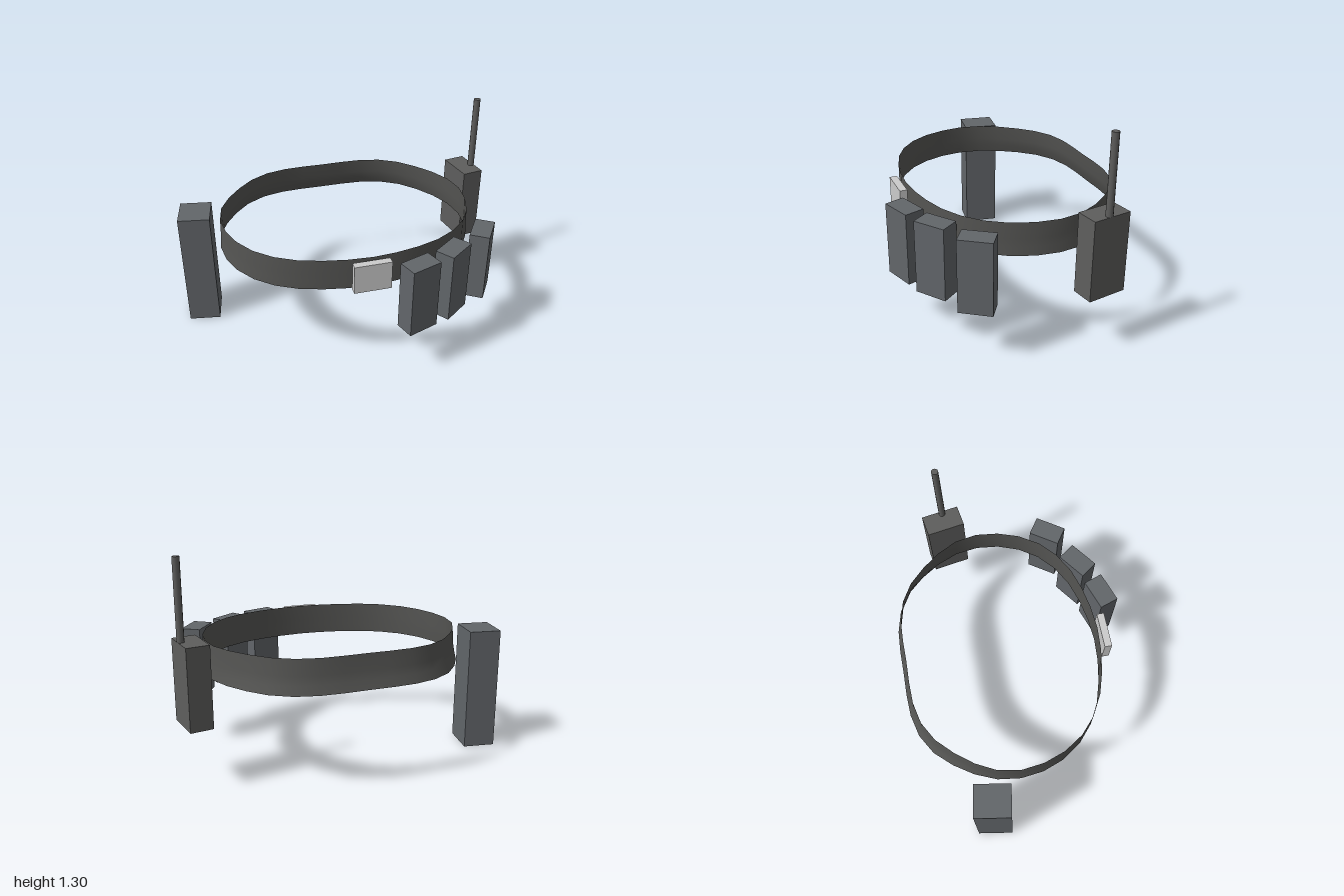
import * as THREE from 'three';

const fabric = new THREE.MeshStandardMaterial({ color: 0x555553, side: THREE.DoubleSide });
const pouchMat = new THREE.MeshStandardMaterial({ color: 0x62666a });
const radioMat = new THREE.MeshStandardMaterial({ color: 0x5e5e5d });
const metal = new THREE.MeshStandardMaterial({ color: 0xcccccc });

// Upright box between two heights, turned about y
function box(name, material, [w, d], [y0, y1], [x, z], turn = 0) {
  const mesh = new THREE.Mesh(new THREE.BoxGeometry(w, y1 - y0, d), material);
  mesh.name = name;
  mesh.position.set(x, (y0 + y1) / 2, z);
  mesh.rotation.y = turn;
  return mesh;
}

// Open band: half an outline mirrored, flaring outwards at the lower back
function beltGeometry() {
  const cx = 0.027, segments = 32;
  const half = [[0.25, -0.703], [0.375, -0.68], [0.485, -0.635], [0.59, -0.545], [0.69, -0.41],
    [0.757, -0.28], [0.787, -0.09], [0.763, 0.065], [0.705, 0.2], [0.595, 0.335], [0.425, 0.44], [0.215, 0.5]];
  const outline = [[0, -0.705], ...half, [0, 0.522], ...half.map(([x, z]) => [-x, z]).reverse()];
  const curve = new THREE.CatmullRomCurve3(outline.map(([x, z]) => new THREE.Vector3(x, 0, z)), true);
  const loop = curve.getSpacedPoints(segments);
  // height and share of the inward lean
  const rows = [[0.59, 0], [0.64, 0.45], [0.69, 0.75], [0.785, 1]];
  const positions = [], index = [];
  rows.forEach(([y, lean], r) => {
    for (let i = 0; i < segments; i++) {
      const p = loop[i];
      const inset = lean * (0.012 * THREE.MathUtils.smoothstep(-p.z, -0.5, 0)
        + 0.033 * THREE.MathUtils.smoothstep(-p.z, 0.1, 0.65));
      const k = 1 - inset / p.length();
      positions.push(cx + p.x * k, y, p.z * k);
      if (r === 0) continue;
      const j = (i + 1) % segments, a = (r - 1) * segments, b = r * segments;
      index.push(a + i, b + i, a + j, a + j, b + i, b + j);
    }
  });
  const geometry = new THREE.BufferGeometry();
  geometry.setAttribute('position', new THREE.Float32BufferAttribute(positions, 3));
  geometry.setIndex(index);
  geometry.computeVertexNormals();
  return geometry;
}

export function createModel() {
  const model = new THREE.Group();
  model.name = 'utilityBelt';

  const belt = new THREE.Mesh(beltGeometry(), fabric);
  belt.name = 'belt';
  model.add(belt);

  model.add(box('buckle', metal, [0.22, 0.045], [0.6, 0.776], [0.01, 0.563]));

  // Three pouches following the left front of the belt
  [[0.28, 0.607, 0.33], [0.517, 0.507, 0.63], [0.763, 0.36, 0.98]].forEach(([x, z, turn], i) =>
    model.add(box(`pouch${i + 1}`, pouchMat, [0.195, 0.12], [0.315, 0.755], [x, z], turn)));

  model.add(box('holster', pouchMat, [0.195, 0.22], [0, 0.755], [-0.885, -0.296], -0.166));

  // Radio with its antenna
  const radio = new THREE.Group();
  radio.name = 'radio';
  radio.add(box('radioBody', radioMat, [0.135, 0.237], [0.36, 0.84], [0.912, -0.296], 0.166));
  const antenna = new THREE.Mesh(new THREE.CylinderGeometry(0.021, 0.021, 0.465, 12), radioMat);
  antenna.name = 'antenna';
  antenna.position.set(0.964, 1.0725, -0.293);
  radio.add(antenna);
  model.add(radio);

  return model;
}
